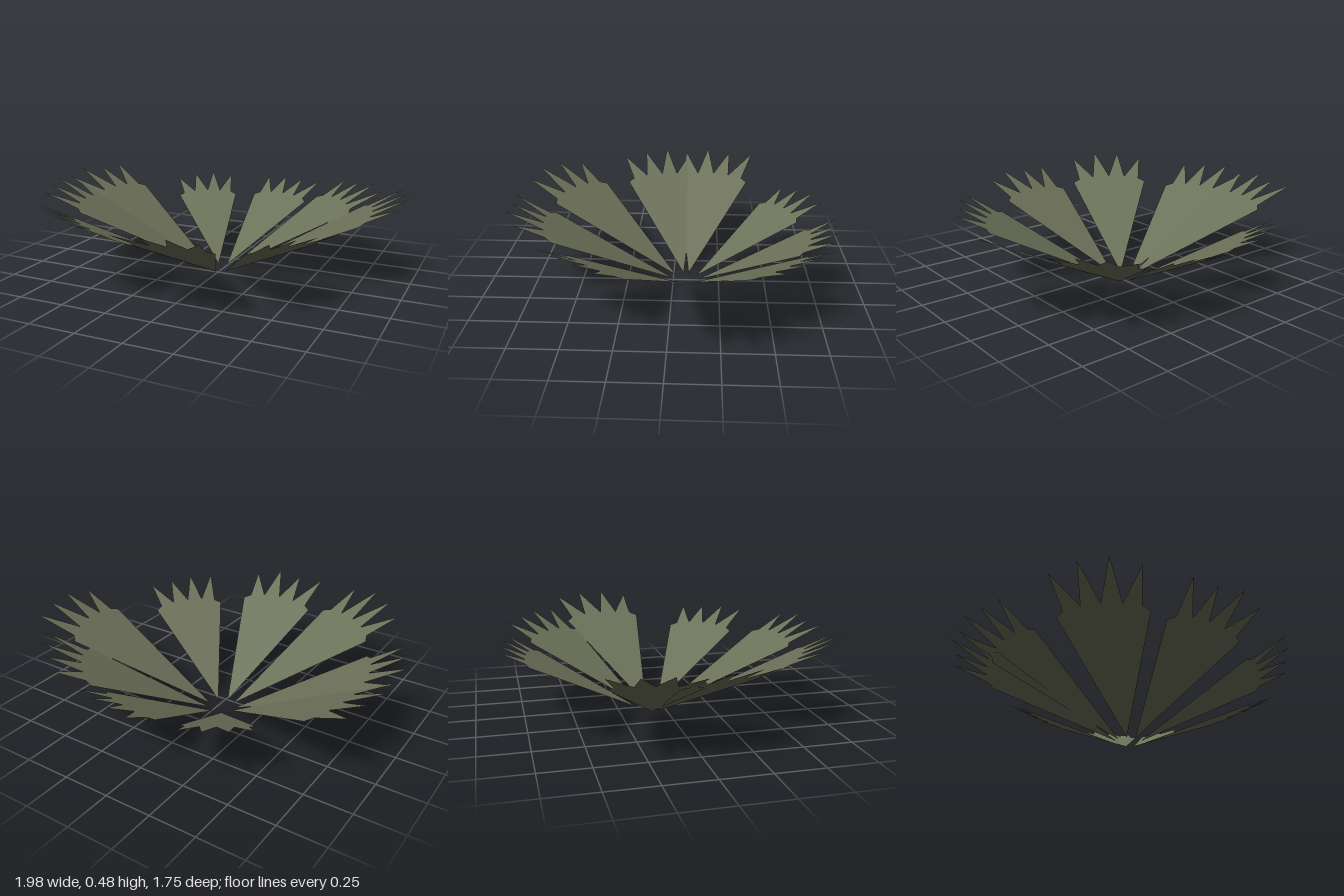
import * as THREE from 'three';

const SLOPE = 0.51;          // rise of each leaf per unit of horizontal reach
const RING = 0.068;          // distance of the leaf roots from the plant's centre
const HALF = 18.2;           // half the spread of a fan, in degrees
const TIP_ANGLES = [-13.6, -4.5, 4.5, 13.6];
const NOTCH_ANGLES = [-14.8, -7.8, 0.2, 7.8, 14.8];

// heading in degrees (from +x towards +z), fan radius, reach of the four tips
const LEAVES = [
  [-10.2, 0.73, [0.95, 0.945, 0.945, 0.915]],
  [39.6, 0.637, [0.806, 0.801, 0.824, 0.834]],
  [83.8, 0.68, [0.856, 0.888, 0.866, 0.89]],
  [123.2, 0.717, [0.918, 0.946, 0.938, 0.912]],
  [167, 0.694, [0.888, 0.891, 0.913, 0.872]],
  [191.1, 0.699, [0.898, 0.914, 0.893, 0.919]],
  [238.5, 0.57, [0.717, 0.738, 0.754, 0.736]],
  [281.5, 0.582, [0.738, 0.738, 0.74, 0.759]],
  [317.3, 0.647, [0.824, 0.834, 0.856, 0.856]],
];

// Flat pleated fan: a pointed root, a round outer edge and four spiky tips
function fanGeometry(radius, tips) {
  const polar = (deg, r) => {
    const a = THREE.MathUtils.degToRad(deg);
    return new THREE.Vector2(r * Math.cos(a), -r * Math.sin(a));
  };
  const points = [new THREE.Vector2(0, 0), polar(-HALF, radius)];
  NOTCH_ANGLES.forEach((angle, i) => {
    points.push(polar(angle, radius * 1.022));
    if (i < tips.length) points.push(polar(TIP_ANGLES[i], tips[i]));
  });
  points.push(polar(HALF, radius));

  const geometry = new THREE.ShapeGeometry(new THREE.Shape(points));
  // Lay the fan down and tilt it upwards along its reach
  const pos = geometry.attributes.position;
  for (let i = 0; i < pos.count; i++) {
    const x = pos.getX(i);
    pos.setXYZ(i, x, SLOPE * x, -pos.getY(i));
  }
  geometry.computeVertexNormals();
  return geometry;
}

export function createModel() {
  const leafGreen = new THREE.MeshStandardMaterial({ color: 0x6c7159, side: THREE.DoubleSide });
  leafGreen.name = 'leafGreen';

  const plant = new THREE.Group();
  plant.name = 'fanLeafPlant';

  // Ring of leaves around the open centre
  LEAVES.forEach(([heading, radius, tips], i) => {
    const a = THREE.MathUtils.degToRad(heading);
    const leaf = new THREE.Mesh(fanGeometry(radius, tips), leafGreen);
    leaf.name = `fanLeaf${i + 1}`;
    leaf.position.set(-0.02 + RING * Math.cos(a), 0, -0.07 + RING * Math.sin(a));
    leaf.rotation.y = -a;
    plant.add(leaf);
  });
  return plant;
}
